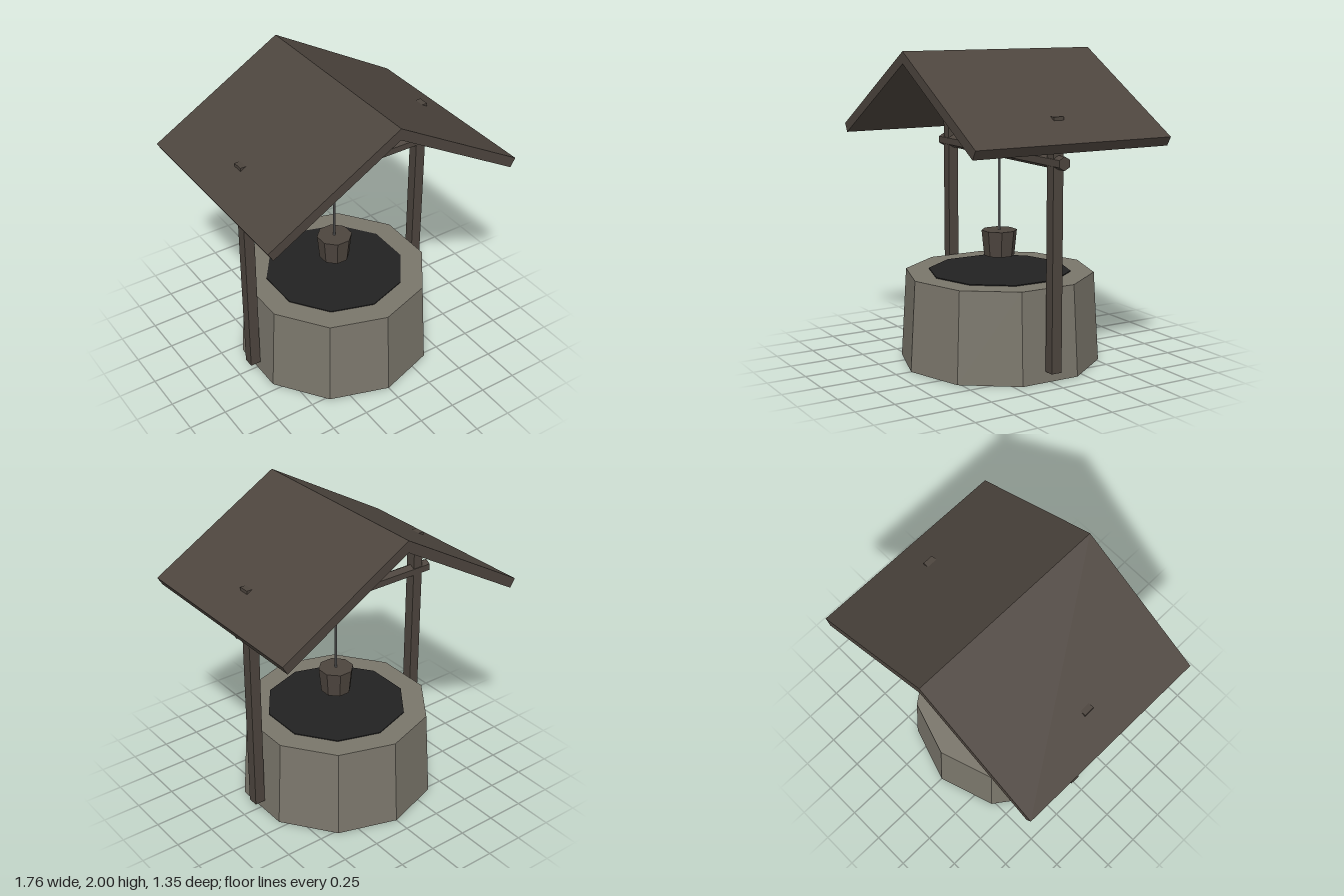
import * as THREE from 'three';

const mat = (name, color) => {
  const m = new THREE.MeshStandardMaterial({ color, flatShading: true });
  m.name = name;
  return m;
};

export function createModel() {
  const well = new THREE.Group();
  well.name = 'well';

  const stone = mat('stone', 0x7a766b);
  const wood = mat('wood', 0x4d453e);
  const dark = mat('darkWater', 0x222222);
  const ropeGrey = mat('ropeGrey', 0x777777);

  const add = (name, geometry, material, x = 0, y = 0, z = 0) => {
    const mesh = new THREE.Mesh(geometry, material);
    mesh.name = name;
    mesh.position.set(x, y, z);
    well.add(mesh);
    return mesh;
  };

  // Ten-sided tapered stone base with a dark disc set in its top
  add('stoneBase', new THREE.CylinderGeometry(0.61, 0.645, 0.58, 10), stone, 0, 0.29);
  add('waterDisc', new THREE.CylinderGeometry(0.46, 0.46, 0.02, 10), dark, 0, 0.576);

  // Posts, poking slightly through the roof
  for (const side of [-1, 1]) {
    add(side > 0 ? 'leftPost' : 'rightPost',
      new THREE.BoxGeometry(0.07, 1.56, 0.07), wood, side * 0.645, 0.85);
  }

  // Six-sided cross beam, one ridge upwards
  const beam = new THREE.CylinderGeometry(0.043, 0.043, 1.49, 6);
  beam.rotateY(Math.PI / 2).rotateZ(Math.PI / 2);
  add('crossBeam', beam, wood, 0, 1.36);

  // Rope and bucket
  add('rope', new THREE.CylinderGeometry(0.008, 0.008, 0.52, 6), ropeGrey, 0, 1.1);
  add('bucket', new THREE.CylinderGeometry(0.115, 0.098, 0.165, 8).rotateY(Math.PI / 8),
    wood, 0, 0.765);

  // Gabled roof: one bent slab profile, extruded front to back
  const half = [[0.88, 1.493], [0.847, 1.437]];
  const profile = new THREE.Shape([
    [0, 2], [-half[0][0], half[0][1]], [-half[1][0], half[1][1]],
    [0, 1.925], half[1], half[0],
  ].map(([x, y]) => new THREE.Vector2(x, y)));
  add('roof', new THREE.ExtrudeGeometry(profile, { depth: 1.35, bevelEnabled: false }),
    wood, 0, 0, -0.675);

  return well;
}
